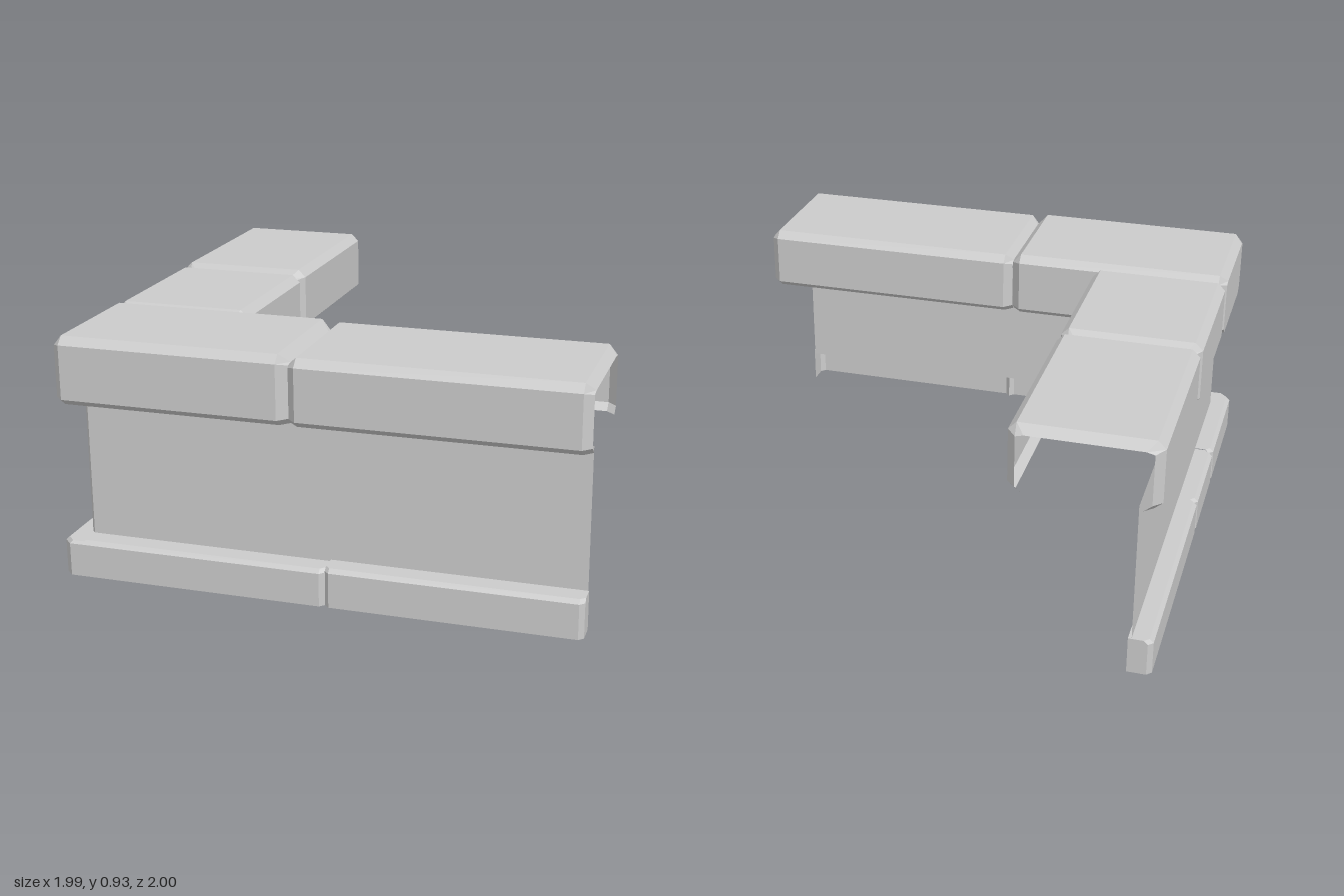
import * as THREE from 'three';

const material = new THREE.MeshStandardMaterial({ color: 0xcccccc, flatShading: true, side: THREE.DoubleSide });

// The two arms of the corner: u runs inward from the outer face, t along the arm
const frontArm = (u, y, t) => [t, y, 1 - u];
const sideArm = (u, y, t) => [-0.995 + u, y, t];

// Skin a list of equal-length rows of points
function skin(name, rows) {
  const pos = [];
  for (let r = 0; r < rows.length - 1; r++) {
    for (let k = 0; k < rows[r].length - 1; k++) {
      const a = rows[r][k], b = rows[r][k + 1], c = rows[r + 1][k + 1], d = rows[r + 1][k];
      pos.push(...a, ...b, ...c, ...a, ...c, ...d);
    }
  }
  const geometry = new THREE.BufferGeometry();
  geometry.setAttribute('position', new THREE.Float32BufferAttribute(pos, 3));
  geometry.computeVertexNormals();
  const mesh = new THREE.Mesh(geometry, material);
  mesh.name = name;
  return mesh;
}

// Bevelled stone: profile(inset) swept from t0 to t1; an end may be closed by collapsing it to u = mid
function stone(name, arm, profile, t0, t1, { i0, i1, mid = 0, close0 = false, close1 = false }) {
  const dir = Math.sign(t1 - t0);
  const row = (t, inset) => profile(inset).map(([u, y]) => arm(u, y, t));
  const flat = (t, inset) => profile(inset).map(([, y]) => arm(mid, y, t));
  const rows = [row(t0, i0), row(t0 + dir * i0, 0), row(t1 - dir * i1, 0), row(t1, i1)];
  if (close0) rows.unshift(flat(t0, i0));
  if (close1) rows.push(flat(t1, i1));
  return skin(name, rows);
}

// Coping stone section: hollow below, bevelled along every edge
const coping = (width, top) => (i) => {
  const b = 0.03, w = width - i;
  return [
    [i + b, 0.67], [i, 0.695], [i, top - 0.03 - i * 0.3], [i + b, top - i],
    [w - b, top - i], [w, top - 0.03 - i * 0.3], [w, 0.695], [w - b, 0.67],
  ];
};

// Plinth section: outer face, small bevel and ledge back to the wall
const plinth = (top) => (i) => [[i, 0], [i, top - 0.015], [i + 0.015, top], [0.09, top]];

export function createModel() {
  const model = new THREE.Group();
  model.name = 'cornerWall';

  // Wall panels with a narrow chamfer at the corner
  const plan = [[0.985, 0.91], [-0.905, 0.91], [-0.918, 0.897], [-0.918, -0.995]];
  model.add(skin('wall', [0.13, 0.685].map((y) => plan.map(([x, z]) => [x, y, z]))));

  // Coping stones along the top
  const bevel = 0.032;
  model.add(
    stone('copingCorner', frontArm, coping(0.545, 0.932), -0.995, -0.092,
      { i0: bevel, i1: 0.036, mid: 0.27, close0: true }),
    stone('copingFront', frontArm, coping(0.545, 0.924), -0.092, 0.99, { i0: bevel, i1: bevel }),
    stone('copingSideInner', sideArm, coping(0.545, 0.924), 0.457, -0.2, { i0: bevel, i1: 0.036 }),
    stone('copingSideOuter', sideArm, coping(0.545, 0.93), -0.2, -1, { i0: 0.036, i1: bevel }),
  );

  // Plinth stones along the foot
  const groove = 0.018;
  model.add(
    stone('plinthFrontInner', frontArm, plinth(0.143), -0.965, 0.04, { i0: 0, i1: groove }),
    stone('plinthFrontOuter', frontArm, plinth(0.149), 0.04, 0.988,
      { i0: groove, i1: groove, mid: 0.09, close1: true }),
    stone('plinthCorner', sideArm, plinth(0.143), 1, 0.45, { i0: 0.03, i1: groove }),
    stone('plinthSideInner', sideArm, plinth(0.14), 0.45, 0.02, { i0: groove, i1: groove }),
    stone('plinthSideOuter', sideArm, plinth(0.143), 0.02, -0.998,
      { i0: groove, i1: groove, mid: 0.09, close1: true }),
  );

  return model;
}
